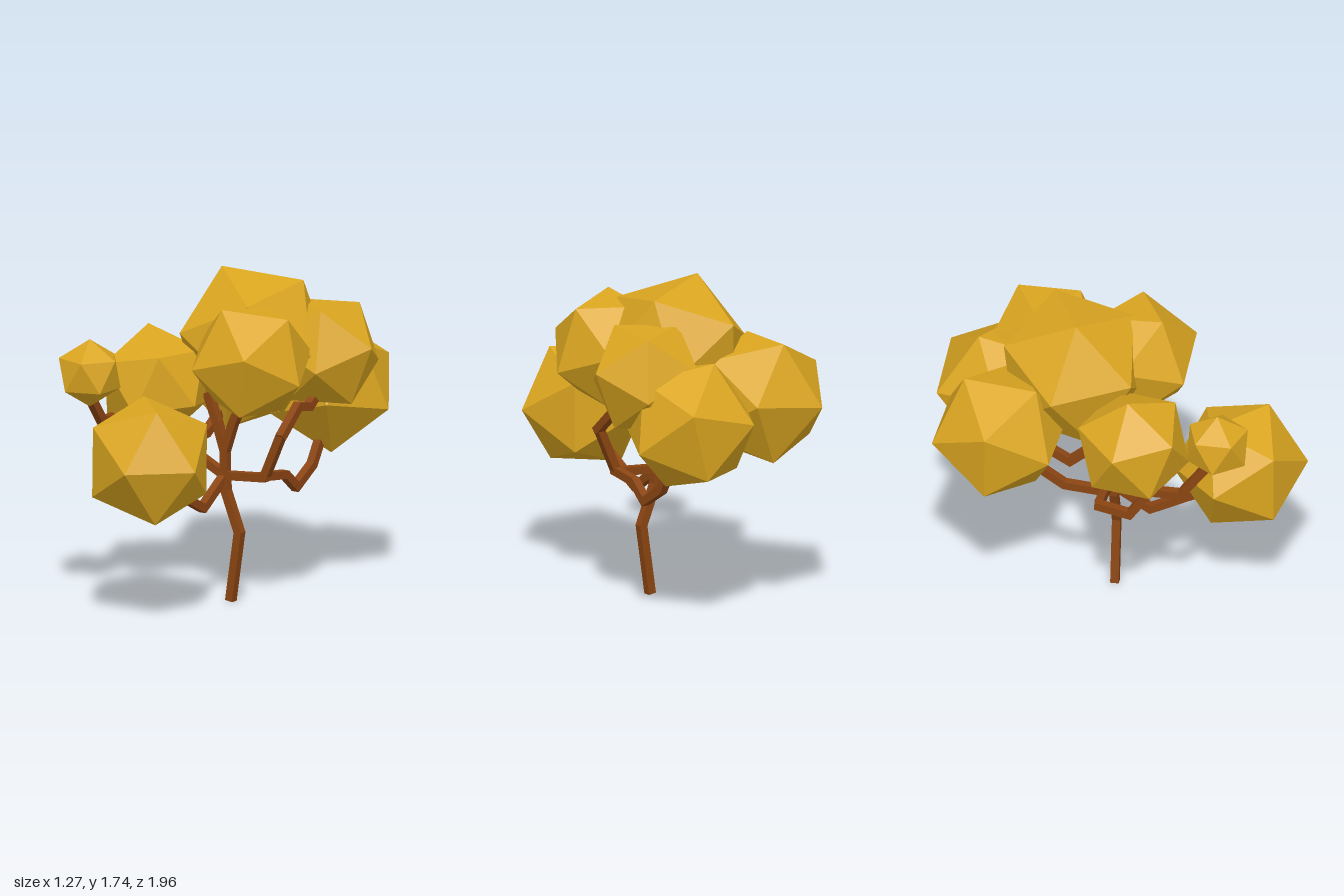
import * as THREE from 'three';

const V = (a) => new THREE.Vector3(...a);

// Square-section limb with mitred bends; side is the axis across its plane
function limbGeometry(path, side, width = 0.044) {
  const pts = path.map(V), ref = V(side), h = width / 2;
  const pos = [], idx = [], last = pts.length - 1;
  pts.forEach((p, i) => {
    const a = pts[i].clone().sub(pts[Math.max(i - 1, 0)]).normalize();
    const b = pts[Math.min(i + 1, last)].clone().sub(pts[i]).normalize();
    const t = a.clone().add(b).normalize();
    const miter = 1 / Math.max(0.6, t.dot(i < last ? b : a));
    const u = ref.clone().addScaledVector(t, -ref.dot(t)).normalize();
    const w = t.clone().cross(u);
    for (const [su, sw] of [[1, 1], [-1, 1], [-1, -1], [1, -1]]) {
      pos.push(...p.clone().addScaledVector(u, su * h).addScaledVector(w, sw * h * miter).toArray());
    }
  });
  for (let i = 0; i < last; i++) {
    for (let j = 0; j < 4; j++) {
      const a = i * 4 + j, b = i * 4 + (j + 1) % 4;
      idx.push(a, b, b + 4, a, b + 4, a + 4);
    }
  }
  const e = last * 4;
  idx.push(0, 2, 1, 0, 3, 2, e, e + 1, e + 2, e, e + 2, e + 3);
  const g = new THREE.BufferGeometry();
  g.setAttribute('position', new THREE.Float32BufferAttribute(pos, 3));
  g.setIndex(idx);
  const flat = g.toNonIndexed();
  flat.computeVertexNormals();
  return flat;
}

// Right-handed frame from one corner direction and one neighbouring corner
function frame(a, b) {
  const x = a.clone().normalize();
  const y = b.clone().addScaledVector(x, -b.dot(x)).normalize();
  return new THREE.Matrix4().makeBasis(x, y, x.clone().cross(y));
}

// Icosahedron turned so that two adjacent corners point along a and b
function clumpGeometry(r, a, b) {
  const t = (1 + Math.sqrt(5)) / 2;
  const base = frame(V([1, t, 0]), V([-1, t, 0])).invert();
  const g = new THREE.IcosahedronGeometry(r, 0);
  g.applyMatrix4(frame(V(a), V(b)).multiply(base));
  g.computeVertexNormals();
  return g;
}

export function createModel() {
  const bark = new THREE.MeshStandardMaterial({ color: 0x8b4513 });
  bark.name = 'bark brown';
  const leaf = new THREE.MeshStandardMaterial({ color: 0xdaa520 });
  leaf.name = 'leaf gold';

  const tree = new THREE.Group();
  tree.name = 'tree';
  const add = (name, geometry, material, at = [0, 0, 0]) => {
    const m = new THREE.Mesh(geometry, material);
    m.name = name;
    m.position.set(...at);
    tree.add(m);
  };

  // Trunk and limbs: those lying across the tree, then those running front to back
  const z = -0.015, X = [1, 0, 0], Z = [0, 0, 1];
  const limbs = [
    ['trunk', Z, [[0.015, 0.004, z], [0.07, 0.375, z], [-0.015, 0.59, z], [-0.02, 0.7, z], [-0.02, 0.84, z]]],
    ['upperLeftFork', Z, [[-0.02, 0.8, z], [0.03, 0.95, z], [0.1, 1.1, z]]],
    ['upperRightFork', Z, [[-0.02, 0.8, z], [-0.07, 0.95, z], [-0.13, 1.1, z]]],
    ['leftLimb', Z, [[-0.02, 0.67, z], [0.23, 0.69, z], [0.34, 0.94, z]]],
    ['rightLimb', Z, [[-0.02, 0.67, z], [-0.28, 0.8, z], [-0.5, 0.855, z]]],
    ['frontBranch', X, [[-0.03, 0.66, z], [-0.03, 0.53, 0.18], [-0.03, 0.67, 0.45], [-0.03, 0.8, 0.6]]],
    ['rightFrontBranch', X, [[-0.5, 0.86, -0.03], [-0.5, 0.82, 0.15], [-0.5, 0.98, 0.26], [-0.5, 0.98, 0.42], [-0.5, 1.2, 0.58]]],
    ['rightBackBranch', X, [[-0.29, 0.8, 0], [-0.29, 0.82, -0.23], [-0.29, 0.91, -0.36], [-0.29, 1.05, -0.5]]],
    ['leftBackBranch', X, [[0.235, 0.7, 0], [0.235, 0.675, -0.19], [0.235, 0.59, -0.29], [0.235, 0.68, -0.44], [0.235, 0.85, -0.54]]],
    ['leftUpperBranch', X, [[0.34, 0.92, 0], [0.34, 1.06, -0.16], [0.34, 1.04, -0.26], [0.34, 1.15, -0.4]]],
  ];
  for (const [name, side, path] of limbs) add(name, limbGeometry(path, side), bark);

  // Foliage clumps: centre, radius and two adjacent corner directions
  const clumps = [
    ['smallFrontClump', [-0.45, 1.28, 0.605], 0.18, [0, 1, 0], [0.9, 0.45, 0]],
    ['frontClump', [-0.035, 0.875, 0.655], 0.355, [0.08, 0, 0.34], [0.135, 0.3, 0.13]],
    ['rightClump', [-0.35, 1.155, 0.145], 0.31, [-0.06, 0.3, -0.02], [-0.17, 0.12, 0.245]],
    ['leftClump', [0.205, 1.33, 0.07], 0.335, [0.15, 0.07, 0.285], [-0.2, -0.03, 0.26]],
    ['topClump', [0.005, 1.36, -0.23], 0.415, [-0.17, 0.38, 0.04], [0.23, 0.33, -0.14]],
    ['farLeftClump', [0.32, 1.3, -0.425], 0.317, [0.31, 0.055, 0.013], [0.12, 0.25, 0.155]],
    ['backLeftClump', [0.2, 1.07, -0.65], 0.365, [-0.08, 0.33, -0.1], [0.19, 0.13, -0.31]],
    ['backRightClump', [-0.3, 1.13, -0.57], 0.37, [-0.02, 0.31, -0.18], [-0.34, 0.15, -0.02]],
  ];
  for (const [name, at, r, a, b] of clumps) add(name, clumpGeometry(r, a, b), leaf, at);

  return tree;
}
